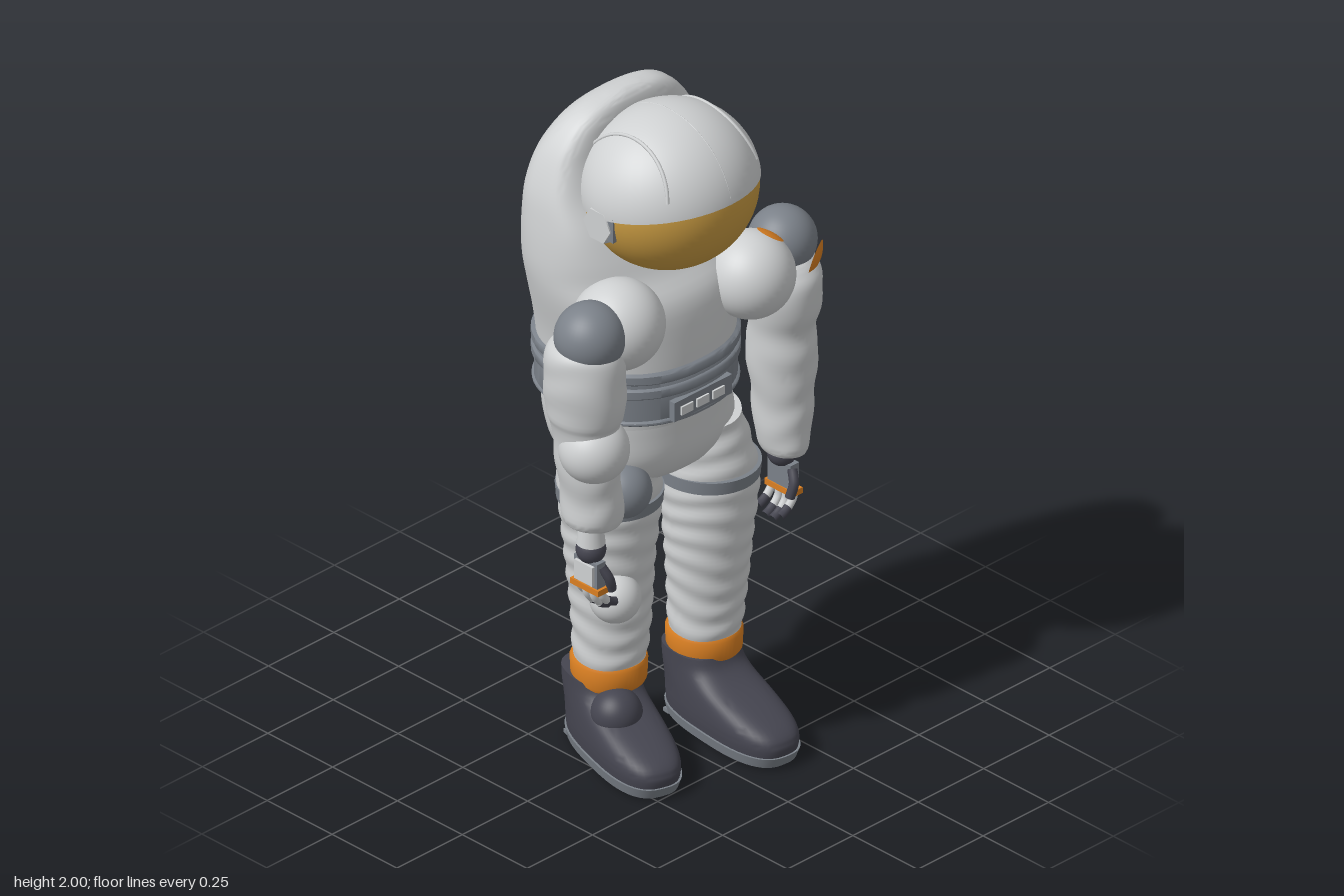
import * as THREE from 'three';
import { toCreasedNormals } from 'three/addons/utils/BufferGeometryUtils.js';

const mat = (name, color) => Object.assign(new THREE.MeshStandardMaterial({ color }), { name });
const V = (x, y, z) => new THREE.Vector3(x, y, z);

// Closed loft through horizontal sections [y, cx, cz, rx, rz, front squareness], with optional smoothing and fabric folds
function loft(sections, { steps = 1, n = 2, folds = 0, freq = 60, segs = 48 } = {}) {
  const rows = [];
  const last = sections.length - 1;
  for (let i = 0; i <= last * steps; i++) {
    const k = Math.min(Math.floor(i / steps), last - 1), t = i / steps - k;
    const p = (j) => sections[Math.max(0, Math.min(last, j))];
    rows.push(p(k).map((b, c) => {
      const a = p(k - 1)[c], d = p(k + 1)[c], e = p(k + 2)[c];
      if (steps === 1) return t ? d : b;
      return 0.5 * (2 * b + (d - a) * t + (2 * a - 5 * b + 4 * d - e) * t * t + (3 * b - a - 3 * d + e) * t ** 3);
    }));
  }
  const pos = [], idx = [];
  const pw = (v, e) => Math.sign(v) * Math.abs(v) ** (2 / e);
  for (const [y, cx, cz, rx, rz, front = n] of rows) {
    for (let j = 0; j < segs; j++) {
      const a = (j / segs) * Math.PI * 2;
      const f = folds * Math.sin(y * freq + 1.3 * Math.sin(a * 2 + y * 9));
      const e = j < segs / 2 ? front : n;
      pos.push(cx + pw(Math.cos(a), e) * (rx + f), y, cz + pw(Math.sin(a), e) * (rz + f));
    }
  }
  const bottom = pos.length / 3, top = bottom + 1, r0 = (rows.length - 1) * segs;
  for (const r of [rows[0], rows[rows.length - 1]]) pos.push(r[1], r[0], r[2]);
  for (let j = 0; j < segs; j++) {
    const q = (j + 1) % segs;
    idx.push(bottom, j, q, top, r0 + q, r0 + j);
    for (let i = 0; i < rows.length - 1; i++) {
      const a = i * segs + j, b = i * segs + q;
      idx.push(a, a + segs, b, b, a + segs, b + segs);
    }
  }
  const g = new THREE.BufferGeometry();
  g.setAttribute('position', new THREE.Float32BufferAttribute(pos, 3));
  g.setIndex(idx);
  return toCreasedNormals(g, 0.8);
}

export function createModel() {
  const model = new THREE.Group();
  model.name = 'spaceSuit';
  const white = mat('suit white', 0xcfd1d2), grey = mat('mid grey', 0x7b8189), dark = mat('boot charcoal', 0x454550);
  const gold = mat('visor gold', 0xc99b42), orange = mat('trim orange', 0xdb8022);

  const add = (name, geo, m, parent = model, p = [0, 0, 0]) => {
    const mesh = new THREE.Mesh(geo, m);
    mesh.name = name;
    mesh.position.set(...p);
    parent.add(mesh);
    return mesh;
  };
  const group = (name, x, y, z) => {
    const g = new THREE.Group();
    g.name = name;
    g.position.set(x, y, z);
    model.add(g);
    return g;
  };
  const ball = (name, r, p, m) => add(name, new THREE.SphereGeometry(r, 40, 28), m, model, p);
  // Sphere cap facing a given direction
  const cap = (name, r, angle, dir, p, m, parent = model) => {
    const c = add(name, new THREE.SphereGeometry(r, 48, 24, 0, Math.PI * 2, 0, angle), m, parent, p);
    c.quaternion.setFromUnitVectors(V(0, 1, 0), dir.normalize());
  };
  const tube = (name, pts, r, m, parent, segs = 20) =>
    add(name, new THREE.TubeGeometry(new THREE.CatmullRomCurve3(pts), segs, r, 8), m, parent);
  // Turns a row [y, back z, front z, half width, front squareness] into a loft section
  const span = ([y, b, f, w, ...rest]) => [y, 0, (b + f) / 2, w, (f - b) / 2, ...rest];

  // Torso rising into the backpack hood, whose front edge is squarer than its back
  const torso = [
    [1.08, -0.32, 0.15, 0.255, 2.3], [1.2, -0.335, 0.165, 0.262, 2.3], [1.32, -0.343, 0.168, 0.275, 2.3],
    [1.45, -0.345, 0.155, 0.305, 2.3], [1.53, -0.344, 0.1, 0.315, 2.4], [1.6, -0.34, 0.06, 0.315, 2.9],
    [1.68, -0.33, 0.01, 0.308, 3.6], [1.76, -0.315, -0.045, 0.294, 4], [1.84, -0.295, -0.075, 0.264, 4],
    [1.9, -0.268, -0.085, 0.229, 4], [1.95, -0.235, -0.09, 0.183, 3.6], [1.983, -0.195, -0.1, 0.125, 3], [1.998, -0.155, -0.115, 0.05, 2.3],
  ];
  add('torsoAndHood', loft(torso.map(span), { steps: 4, n: 2.3, segs: 64 }), white);

  // Pelvis
  add('pelvis', loft([
    [0.845, 0.01, -0.07, 0.13, 0.1], [0.89, 0.02, -0.07, 0.23, 0.17], [0.96, 0.015, -0.08, 0.265, 0.22],
    [1.05, 0.005, -0.09, 0.262, 0.24], [1.12, 0, -0.085, 0.255, 0.24],
  ], { steps: 5, n: 2.2 }), white);

  // Waist belts
  const ring = (name, y0, y1, rx, rz) => {
    const e = 0.005;
    add(name, loft([[y0, 0, -0.087, rx - e, rz - e], [y0 + e, 0, -0.087, rx, rz],
      [y1 - e, 0, -0.087, rx, rz], [y1, 0, -0.087, rx - e, rz - e]], { n: 2.3, segs: 64 }), grey);
  };
  ring('beltBase', 1.105, 1.25, 0.268, 0.262);
  ring('beltLowerTrim', 1.105, 1.12, 0.272, 0.27);
  ring('beltMiddleRidge', 1.19, 1.222, 0.275, 0.271);
  ring('beltUpperRidge', 1.235, 1.268, 0.275, 0.271);
  add('buckle', new THREE.BoxGeometry(0.22, 0.06, 0.02), grey, model, [-0.01, 1.148, 0.173]);
  for (const x of [-0.075, -0.015, 0.045]) add('buckleKey', new THREE.BoxGeometry(0.045, 0.026, 0.008), white, model, [x, 1.145, 0.185]);

  // Helmet: gold sphere under a tilted white shell, with raised ribs
  const helmet = group('helmet', 0, 1.765, 0.043);
  helmet.scale.set(0.253, 0.232, 0.238);
  add('visor', new THREE.SphereGeometry(1, 64, 40), gold, helmet);
  cap('helmetShell', 1.018, 1.6, V(0, 0.985, -0.18), [0, 0, 0], white, helmet);
  const rib = (name, side, tilt, d, r, width) => {
    const pts = [];
    for (let i = 0; i <= 16; i++) {
      const t = -1.5 + (i / 16) * 2.85;
      const x = d * Math.cos(tilt) - r * Math.sin(tilt) * Math.cos(t);
      pts.push(V(side * x, d * Math.sin(tilt) + r * Math.cos(tilt) * Math.cos(t), r * Math.sin(t)));
    }
    tube(name, pts, width, white, helmet, 40);
  };
  rib('leftRib', 1, 0.25, 0.735, 0.705, 0.022);
  rib('rightRib', -1, 0.25, 0.735, 0.705, 0.022);
  rib('centreSeam', 1, 0, 0, 1.014, 0.007);
  for (const s of [-1, 1]) {
    const ear = add('earCap', new THREE.CylinderGeometry(0.052, 0.058, 0.03, 6), white, model, [s * 0.243, 1.73, 0.022]);
    ear.rotation.z = -s * Math.PI / 2;
    add('earBracket', new THREE.BoxGeometry(0.014, 0.075, 0.022), grey, model, [s * 0.247, 1.735, 0.07]);
  }

  // Shoulder cups, shoulder joints and orange patches
  ball('rightShoulderCup', 0.13, [-0.238, 1.44, 0.085], white);
  ball('leftShoulderCup', 0.125, [0.207, 1.435, 0.146], white);
  ball('rightShoulderJoint', 0.1, [-0.36, 1.457, 0.1], grey);
  ball('leftShoulderJoint', 0.096, [0.375, 1.457, 0.1], grey);
  cap('cupPatch', 0.128, 0.32, V(0.52, 0.84, 0.1), [0.207, 1.435, 0.146], orange);
  cap('shoulderPatch', 0.104, 0.53, V(0.45, -0.25, 0.8), [0.372, 1.44, 0.112], orange);

  // Sleeves
  add('rightSleeve', loft([
    [0.86, -0.34, 0.09, 0.065, 0.075], [0.88, -0.34, 0.09, 0.082, 0.088], [0.96, -0.345, 0.088, 0.08, 0.09],
    [1.05, -0.355, 0.085, 0.082, 0.095], [1.17, -0.36, 0.08, 0.085, 0.1], [1.22, -0.36, 0.08, 0.1, 0.118],
    [1.34, -0.366, 0.085, 0.106, 0.12], [1.41, -0.368, 0.085, 0.1, 0.108], [1.44, -0.368, 0.085, 0.085, 0.085],
  ], { steps: 5, folds: 0.002, freq: 50 }), white);
  add('leftSleeve', loft([
    [0.8, 0.372, 0.105, 0.055, 0.07], [0.83, 0.372, 0.105, 0.068, 0.08], [0.92, 0.375, 0.1, 0.077, 0.09],
    [1.0, 0.375, 0.1, 0.083, 0.094], [1.11, 0.372, 0.1, 0.095, 0.105], [1.19, 0.368, 0.105, 0.088, 0.096],
    [1.26, 0.366, 0.112, 0.1, 0.106], [1.35, 0.366, 0.118, 0.1, 0.108], [1.395, 0.37, 0.112, 0.088, 0.092],
    [1.42, 0.37, 0.11, 0.07, 0.07],
  ], { steps: 5, folds: 0.002, freq: 50 }), white);
  ball('rightElbowBall', 0.098, [-0.36, 1.108, 0.115], white);
  ball('rightHipBall', 0.08, [-0.195, 0.885, 0.06], grey);
  ball('rightKneeBall', 0.072, [-0.195, 0.53, 0.03], white);
  ball('rightAnkleBall', 0.072, [-0.185, 0.158, 0.025], dark);

  // Gloves
  for (const s of [-1, 1]) {
    const hand = group(s > 0 ? 'leftHand' : 'rightHand', s * 0.365, 0.79, 0.108);
    add('wristBall', new THREE.SphereGeometry(0.042, 24, 16), dark, hand);
    add('cuffLink', new THREE.CylinderGeometry(0.03, 0.04, 0.09, 20), white, hand, [0, 0.065, 0]);
    add('palm', new THREE.BoxGeometry(0.032, 0.085, 0.09), grey, hand, [s * 0.005, -0.068, 0]);
    add('palmBack', new THREE.BoxGeometry(0.012, 0.06, 0.07), white, hand, [s * 0.024, -0.065, 0]);
    add('knuckleBand', new THREE.BoxGeometry(0.04, 0.018, 0.108), orange, hand, [s * 0.006, -0.112, 0]);
    for (let i = 0; i < 4; i++) {
      const z = -0.042 + i * 0.028, l = i % 3 ? 1 : 0.9;
      tube('finger', [V(s * 0.005, -0.11, z), V(0, -0.145 * l, z), V(-s * 0.02, -0.172 * l, z)], 0.012, white, hand);
      tube('fingerTip', [V(-s * 0.018, -0.17 * l, z), V(-s * 0.036, -0.182 * l, z), V(-s * 0.05, -0.188 * l, z)], 0.013, dark, hand);
    }
    tube('thumb', [V(0, -0.04, 0.04), V(-s * 0.012, -0.075, 0.058), V(-s * 0.025, -0.115, 0.055)], 0.014, dark, hand);
  }

  // Trousers, cuffs and boots: left leg leads, right leg trails
  const legs = [
    { side: 'left', x: [0.172, 0.172, 0.165, 0.166, 0.145], z: [0.003, 0.012, 0.025, 0.02, -0.03], boot: [0.163, 0.0, -0.11] },
    { side: 'right', x: [-0.122, -0.12, -0.122, -0.122, -0.122], z: [-0.068, -0.062, -0.065, -0.065, -0.075], boot: [-0.124, -0.1, -0.3] },
  ];
  for (const { side, x, z, boot } of legs) {
    const ys = [0.24, 0.4, 0.6, 0.79, 0.98], rx = [0.098, 0.107, 0.122, 0.137, 0.125], rz = [0.1, 0.112, 0.126, 0.146, 0.16];
    add(side + 'Trouser', loft(ys.map((y, i) => [y, x[i], z[i], rx[i], rz[i]]), { steps: 16, folds: 0.003, freq: 85 }), white);
    add(side + 'ThighBand', loft([[0.783, x[3], z[3], 0.142, 0.151], [0.822, x[3], z[3], 0.143, 0.156]]), grey);
    add(side + 'AnkleCuff', loft([[0.21, x[0], z[0], 0.1, 0.102], [0.22, x[0], z[0], 0.103, 0.107],
      [0.275, x[0], z[0], 0.104, 0.11], [0.285, x[0], z[0], 0.1, 0.104]]), orange);

    const foot = group(side + 'Boot', boot[0], 0, boot[1]);
    foot.rotation.y = boot[2];
    const upper = [
      [0.03, -0.1, 0.37, 0.1], [0.07, -0.103, 0.375, 0.104], [0.1, -0.103, 0.35, 0.104], [0.13, -0.103, 0.28, 0.102],
      [0.165, -0.102, 0.175, 0.099], [0.195, -0.101, 0.12, 0.098], [0.23, -0.1, 0.1, 0.098],
    ];
    add('bootUpper', loft(upper.map(span), { steps: 4, n: 2.7 }), dark, foot);
    add('sole', loft([[0.008, -0.1, 0.365, 0.1], [0.04, -0.105, 0.378, 0.107]].map(span), { n: 2.7 }), grey, foot);
    for (const tz of [-0.06, 0, 0.14, 0.2, 0.26]) add('tread', new THREE.BoxGeometry(0.15, 0.012, 0.022), grey, foot, [0, 0.006, tz]);
  }
  return model;
}
